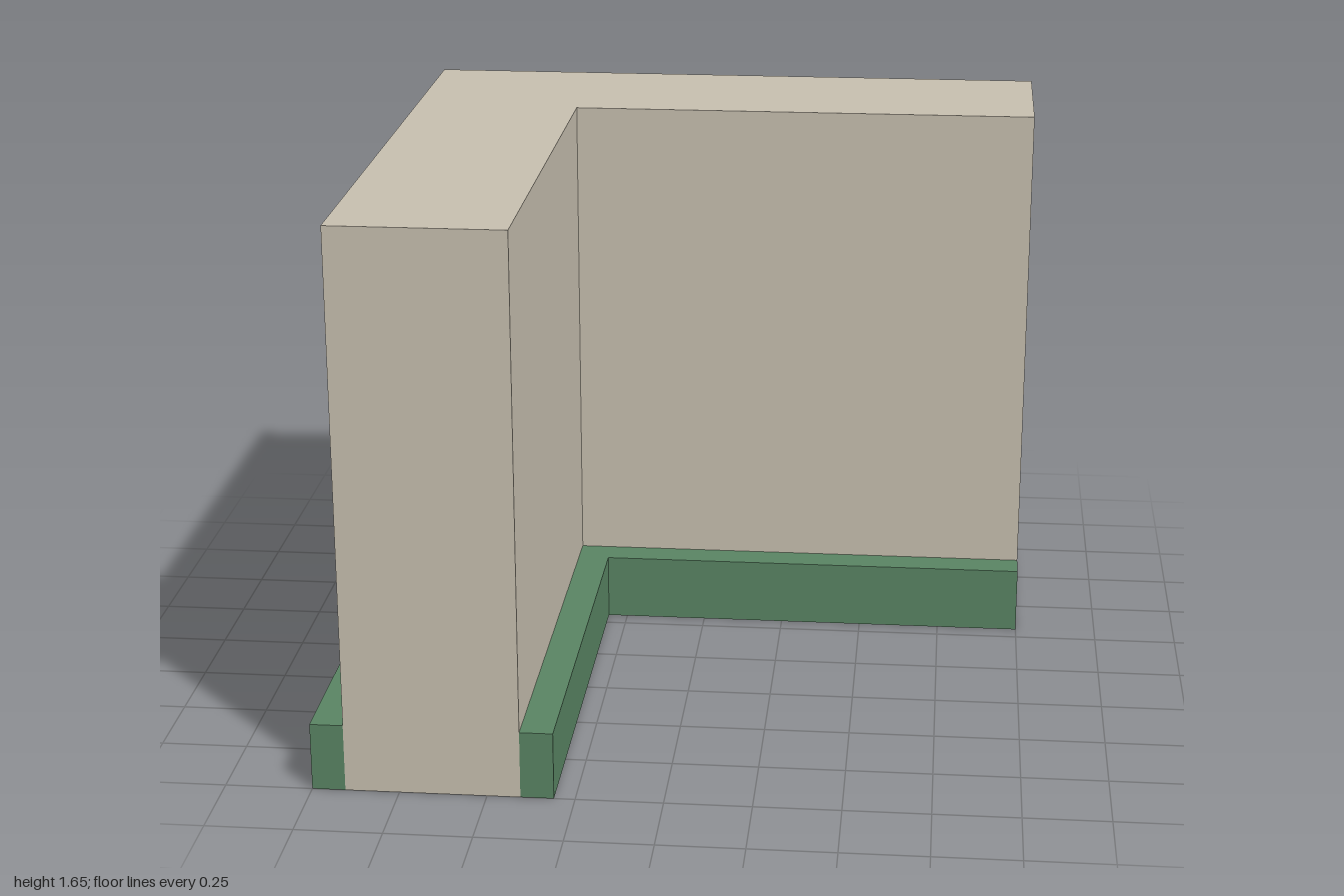
import * as THREE from 'three';

const wallPaint = new THREE.MeshStandardMaterial({ name: 'beigeWall', color: 0xc8c0b0 });
const trimPaint = new THREE.MeshStandardMaterial({ name: 'greenTrim', color: 0x5a8564 });

const END = 1; // open ends of both legs, at x = 1 and z = 1

// L-shaped prism standing on y = 0; outer and inner give the corner position on both x and z
function cornerPiece(name, outer, inner, height, material) {
  const plan = [[outer, outer], [END, outer], [END, inner], [inner, inner], [inner, END], [outer, END]];
  const shape = new THREE.Shape(plan.map(([x, z]) => new THREE.Vector2(x, -z)));
  const geometry = new THREE.ExtrudeGeometry(shape, { depth: height, bevelEnabled: false });
  geometry.rotateX(-Math.PI / 2);
  const mesh = new THREE.Mesh(geometry, material);
  mesh.name = name;
  return mesh;
}

export function createModel() {
  const model = new THREE.Group();
  model.name = 'cornerWall';
  model.add(
    cornerPiece('wall', -0.905, -0.405, 1.655, wallPaint),
    // Skirting boards along the outside and inside of the corner
    cornerPiece('outerSkirting', -1, -0.905, 0.2, trimPaint),
    cornerPiece('innerSkirting', -0.405, -0.31, 0.2, trimPaint),
  );
  return model;
}
